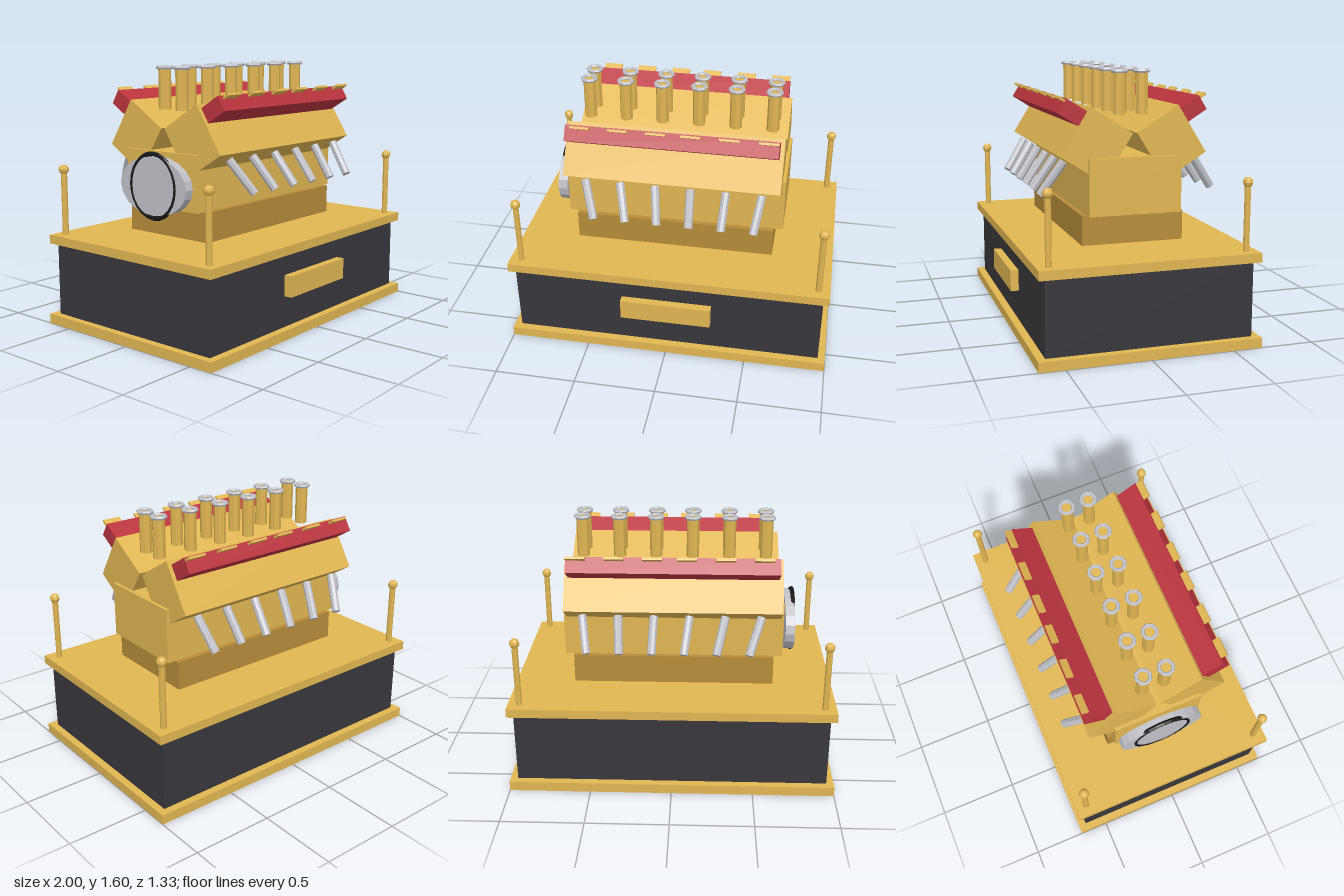
import * as THREE from 'three';

const mat = (color) => new THREE.MeshStandardMaterial({ color, flatShading: true });

export function createModel() {
  const root = new THREE.Group();
  root.name = 'displayEngine';
  root.position.z = -0.012;

  const gold = mat(0xe0b653), bronze = mat(0xb68c3a), red = mat(0xba343f);
  const charcoal = mat(0x38373c), silver = mat(0xc0c2c8), black = mat(0x18181a);

  const add = (name, geo, material, x = 0, y = 0, z = 0, parent = root) => {
    const m = new THREE.Mesh(geo, material);
    m.name = name;
    m.position.set(x, y, z);
    parent.add(m);
    return m;
  };
  // Box given by centre x, bottom, top, centre z
  const slab = (name, material, w, y0, y1, d, x = 0, z = 0) =>
    add(name, new THREE.BoxGeometry(w, y1 - y0, d), material, x, (y0 + y1) / 2, z);
  // Straight tube between two points
  const rod = (name, a, b, r, sides, material) => {
    const dir = b.clone().sub(a);
    const m = add(name, new THREE.CylinderGeometry(r, r, dir.length(), sides), material);
    m.position.copy(a).add(b).multiplyScalar(0.5);
    m.quaternion.setFromUnitVectors(new THREE.Vector3(0, 1, 0), dir.normalize());
    return m;
  };

  // Plinth
  slab('plinthFoot', gold, 2, 0, 0.06, 1.33);
  slab('plinthBody', charcoal, 1.91, 0.06, 0.51, 1.235);
  slab('plinthTop', gold, 1.98, 0.51, 0.565, 1.31);
  slab('plaque', gold, 0.56, 0.25, 0.38, 0.05, 0, 0.642);

  // Corner posts with round finials
  for (const x of [-0.92, 0.92]) {
    for (const z of [-0.585, 0.585]) {
      add('cornerPost', new THREE.CylinderGeometry(0.019, 0.019, 0.4, 8), gold, x, 0.765, z);
      add('postFinial', new THREE.SphereGeometry(0.031, 8, 6), gold, x, 0.969, z);
    }
  }

  // Sump and crankcase
  slab('sump', bronze, 1.235, 0.588, 0.766, 0.62, -0.003);
  slab('crankcase', gold, 1.345, 0.766, 1.103, 0.56, -0.003);

  // Oval pulley with belt on the end
  const pulley = add('pulley', new THREE.CylinderGeometry(1, 1, 0.058, 20), silver, -0.72, 0.905, 0);
  pulley.rotation.z = Math.PI / 2;
  pulley.scale.set(0.175, 1, 0.265);
  const belt = add('belt', new THREE.TorusGeometry(0.19, 0.014, 6, 24), black, -0.741, 0.905, 0);
  belt.rotation.y = Math.PI / 2;
  belt.scale.y = 1.01;
  belt.scale.x = 0.93;

  // Two mirrored cylinder banks
  const tilt = 0.558;
  for (const s of [1, -1]) {
    const tilted = (name, material, w, h, d, x, y, z) => {
      const m = add(name, new THREE.BoxGeometry(w, h, d), material, x, y, s * z);
      m.rotation.x = -s * tilt;
    };
    tilted('cylinderBank', gold, 1.305, 0.33, 0.295, -0.003, 1.175, 0.226);
    tilted('valveCover', red, 1.255, 0.097, 0.15, -0.003, 1.363, 0.361);

    for (let i = 0; i < 6; i++) {
      const x = -0.563 + i * 0.2245;
      tilted('coverTab', gold, 0.115, 0.014, 0.055, x + (i < 3 ? 0.028 : 0.006), 1.438, 0.421);

      // Intake trumpet with rim
      add('intakeTrumpet', new THREE.CylinderGeometry(0.038, 0.038, 0.245, 8), gold, x, 1.4625, s * 0.0685);
      const rim = add('trumpetRim', new THREE.TorusGeometry(0.041, 0.012, 6, 8), silver, x, 1.588, s * 0.0685);
      rim.rotation.x = Math.PI / 2;

      // Exhaust pipe, fanned towards the middle
      rod('exhaustPipe',
        new THREE.Vector3(-0.53 + i * 0.214, 1.075, s * 0.398),
        new THREE.Vector3(-0.457 + i * 0.193, 0.882, s * 0.531), 0.026, 8, silver);
    }
  }
  return root;
}
